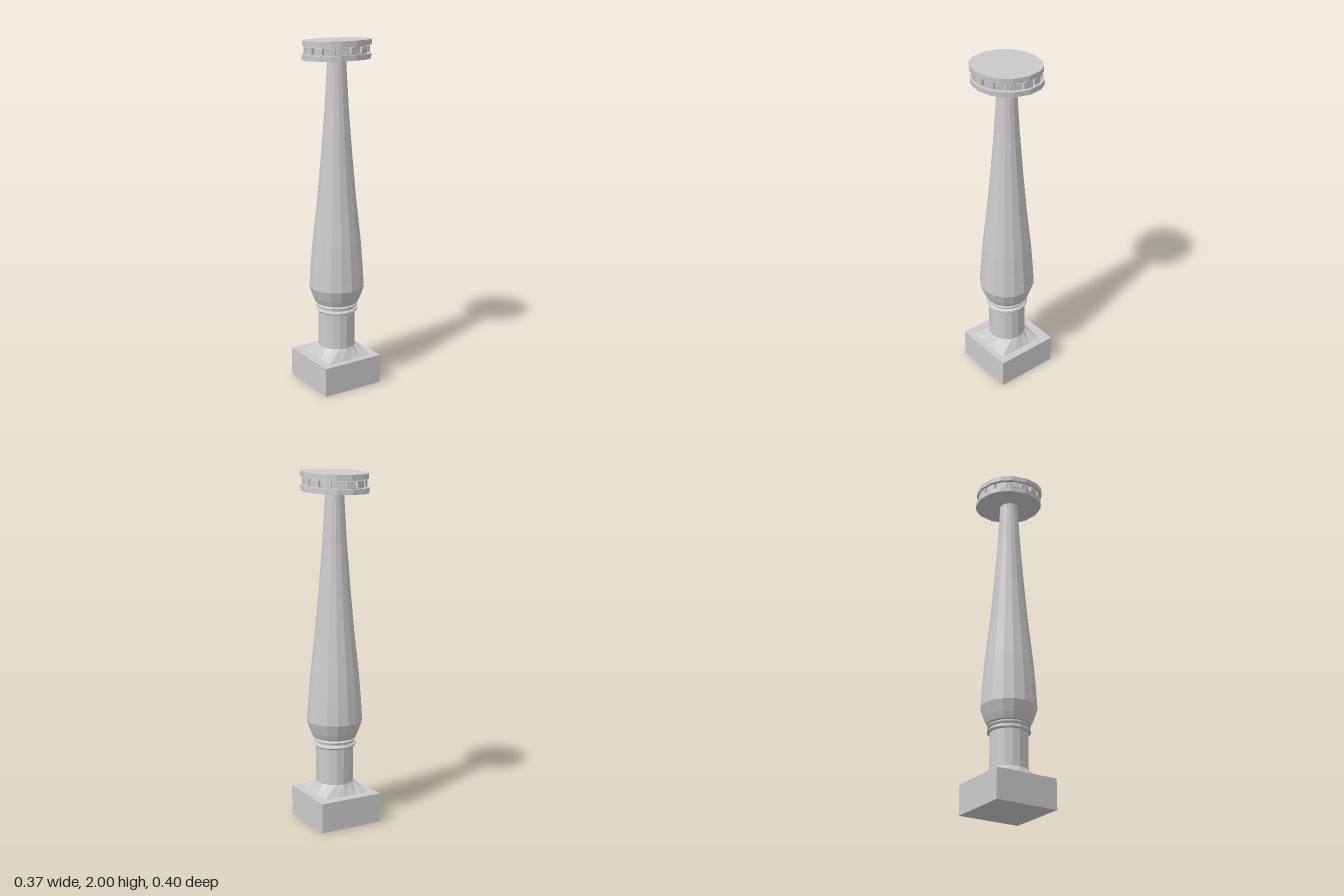
import * as THREE from 'three';

const SIDES = 16;
const material = new THREE.MeshStandardMaterial({ color: 0xcccccc, flatShading: true });

function part(name, geometry) {
  const mesh = new THREE.Mesh(geometry, material);
  mesh.name = name;
  return mesh;
}

// Faceted turned piece from [radius, height] pairs, bottom to top
function turned(name, profile) {
  return part(name, new THREE.LatheGeometry(profile.map(([r, y]) => new THREE.Vector2(r, y)), SIDES));
}

// Slightly oval sixteen-sided outline of the capital plates
function plateShape(scale) {
  const quarter = [[0.186, 0], [0.166, 0.091], [0.131, 0.143], [0.083, 0.178], [0, 0.196]];
  const half = [...quarter, ...quarter.slice(0, 4).reverse().map(([x, z]) => [-x, z])];
  const outline = [...half, ...half.slice(1, 8).reverse().map(([x, z]) => [x, -z])];
  return new THREE.Shape(outline.map(([x, z]) => new THREE.Vector2(x * scale, z * scale)));
}

function plate(name, y0, y1, scale) {
  const geometry = new THREE.ExtrudeGeometry(plateShape(scale), { depth: y1 - y0, bevelEnabled: false });
  return part(name, geometry.rotateX(-Math.PI / 2).translate(0, y0, 0));
}

// The capital slopes down towards the back, its plates stepping with it
function slope(geometry) {
  const p = geometry.attributes.position;
  for (let i = 0; i < p.count; i++) {
    const y = p.getY(i), z = p.getZ(i);
    p.setY(i, y + z * 0.058);
    p.setZ(i, z + (y - 1.935) * 0.08);
  }
  geometry.computeVertexNormals();
}

export function createModel() {
  const model = new THREE.Group();
  model.name = 'column';

  // Square base
  const plinth = part('plinth', new THREE.BoxGeometry(0.374, 0.17, 0.374));
  plinth.position.set(-0.001, 0.085, -0.009);
  model.add(plinth);

  // Flare from the round neck to a square foot
  const flare = new THREE.CylinderGeometry(0.106, 0.143, 0.062, SIDES);
  const p = flare.attributes.position;
  for (let i = 0; i < p.count; i++) {
    const x = p.getX(i), z = p.getZ(i);
    const r = Math.hypot(x, z);
    if (p.getY(i) > 0 || r < 0.01) continue;
    const k = Math.min(r / Math.max(Math.abs(x), Math.abs(z)), 1.36);
    p.setX(i, x * k);
    p.setZ(i, z * k);
  }
  flare.translate(0, 0.2, 0);
  model.add(part('foot', flare));

  // Neck, double collar and tapering shaft
  model.add(turned('neck', [[0.107, 0.225], [0.107, 0.45]]));
  model.add(turned('collar', [
    [0.1, 0.438], [0.116, 0.44], [0.122, 0.447], [0.12, 0.454], [0.108, 0.46],
    [0.108, 0.468], [0.118, 0.472], [0.12, 0.48], [0.11, 0.487], [0.1, 0.49],
  ]));
  model.add(turned('shaft', [
    [0.1, 0.488], [0.122, 0.492], [0.137, 0.525], [0.159, 0.588], [0.152, 0.7],
    [0.14, 0.85], [0.112, 1.1], [0.089, 1.35], [0.069, 1.6], [0.053, 1.87], [0.053, 1.895],
  ]));

  // Capital: two plates around a recessed band of blocks
  const capital = new THREE.Group();
  capital.name = 'capital';
  capital.add(plate('lowerPlate', 1.882, 1.911, 1));
  capital.add(plate('band', 1.905, 1.965, 0.87));
  capital.add(plate('upperPlate', 1.959, 1.988, 1));
  for (let i = 0; i < SIDES; i++) {
    const a = (i / SIDES) * Math.PI * 2;
    const block = new THREE.BoxGeometry(0.052, 0.036, 0.03);
    block.translate(0, 1.935, 0.161).rotateY(a).scale(1, 1, 1.05);
    capital.add(part('block', block));
  }
  capital.children.forEach((mesh) => slope(mesh.geometry));
  model.add(capital);

  return model;
}
